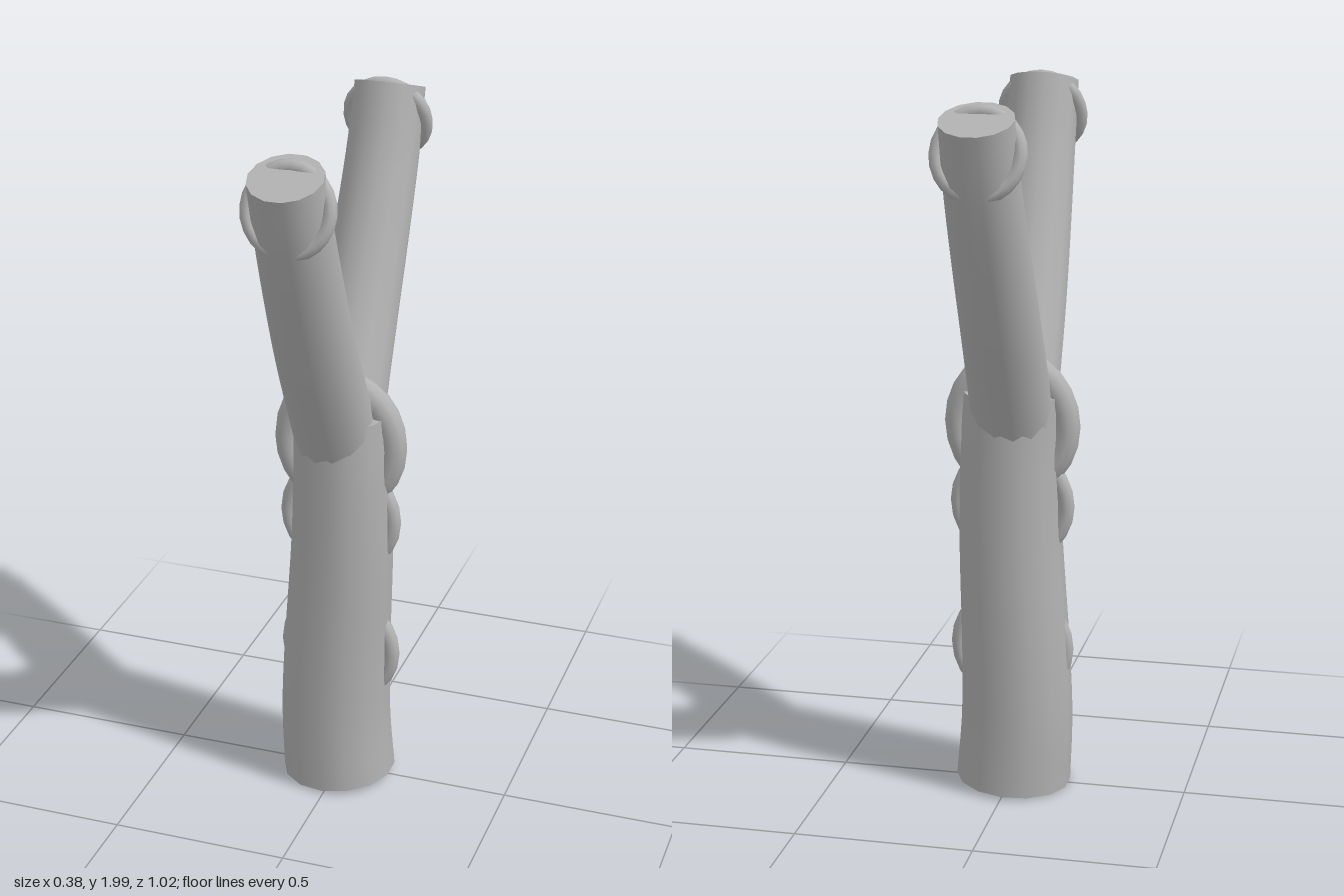
import * as THREE from 'three';

const SIDES = 14;
const wood = new THREE.MeshStandardMaterial({ color: 0xb2b2b2 });
wood.name = 'plainGrey';

function add(parent, name, geometry) {
  const mesh = new THREE.Mesh(geometry, wood);
  mesh.name = name;
  parent.add(mesh);
  return mesh;
}

// Round limb along a curve, tapering from r0 to r1, closed by a disc at each end
function limb(name, points, r0, r1) {
  const group = new THREE.Group();
  group.name = name;
  const curve = new THREE.CatmullRomCurve3(points.map((p) => new THREE.Vector3(...p)));
  const rings = 20;
  const tube = new THREE.TubeGeometry(curve, rings, 1, SIDES, false);
  const pos = tube.attributes.position;
  const v = new THREE.Vector3();
  for (let i = 0; i < pos.count; i++) {
    const t = Math.floor(i / (SIDES + 1)) / rings;
    const centre = curve.getPointAt(t);
    v.fromBufferAttribute(pos, i).sub(centre).multiplyScalar(r0 + (r1 - r0) * t).add(centre);
    pos.setXYZ(i, v.x, v.y, v.z);
  }
  add(group, name + 'Side', tube);
  for (const [t, r, sign] of [[0, r0, -1], [1, r1, 1]]) {
    const cap = add(group, name + (t ? 'Tip' : 'Base'), new THREE.CircleGeometry(r, SIDES));
    cap.position.copy(curve.getPointAt(t));
    const direction = curve.getTangentAt(t).multiplyScalar(sign);
    cap.quaternion.setFromUnitVectors(new THREE.Vector3(0, 0, 1), direction);
  }
  return group;
}

// Upright ring standing in the x-y plane
function ring(parent, name, y, outer, thickness, stretch = 1) {
  const mesh = add(parent, name, new THREE.TorusGeometry(outer - thickness, thickness, 10, 24));
  mesh.position.y = y;
  mesh.scale.y = stretch;
  return mesh;
}

export function createModel() {
  const model = new THREE.Group();
  model.name = 'forkedBranch';

  // Slightly bent handle
  model.add(limb('handle', [
    [-0.004, 0.02, 0], [-0.014, 0.2, 0], [-0.011, 0.4, 0],
    [0.004, 0.75, 0], [0.006, 1.0, 0], [0.001, 1.16, 0],
  ], 0.163, 0.134));

  // Two arms that spread to front and back, each with a ring at the tip
  for (const s of [1, -1]) {
    const side = s > 0 ? 'front' : 'back';
    model.add(limb(side + 'Arm', [
      [-0.004, 1.05, s * 0.0], [-0.006, 1.2, s * 0.078], [-0.006, 1.4, s * 0.182],
      [-0.003, 1.6, s * 0.277], [0, 1.8, s * 0.362], [0, 1.968, s * 0.42],
    ], 0.116, 0.099));
    const tipRing = ring(model, side + 'TipRing', 1.877, 0.129, 0.02);
    tipRing.position.z = s * 0.402;
    tipRing.rotation.x = -s * 0.3;
  }

  // Rings sunk into the handle and around the fork
  ring(model, 'forkRing', 1.07, 0.192, 0.038, 1.12);
  ring(model, 'upperHandleRing', 0.84, 0.177, 0.024);
  ring(model, 'lowerHandleRing', 0.42, 0.177, 0.024);
  return model;
}
